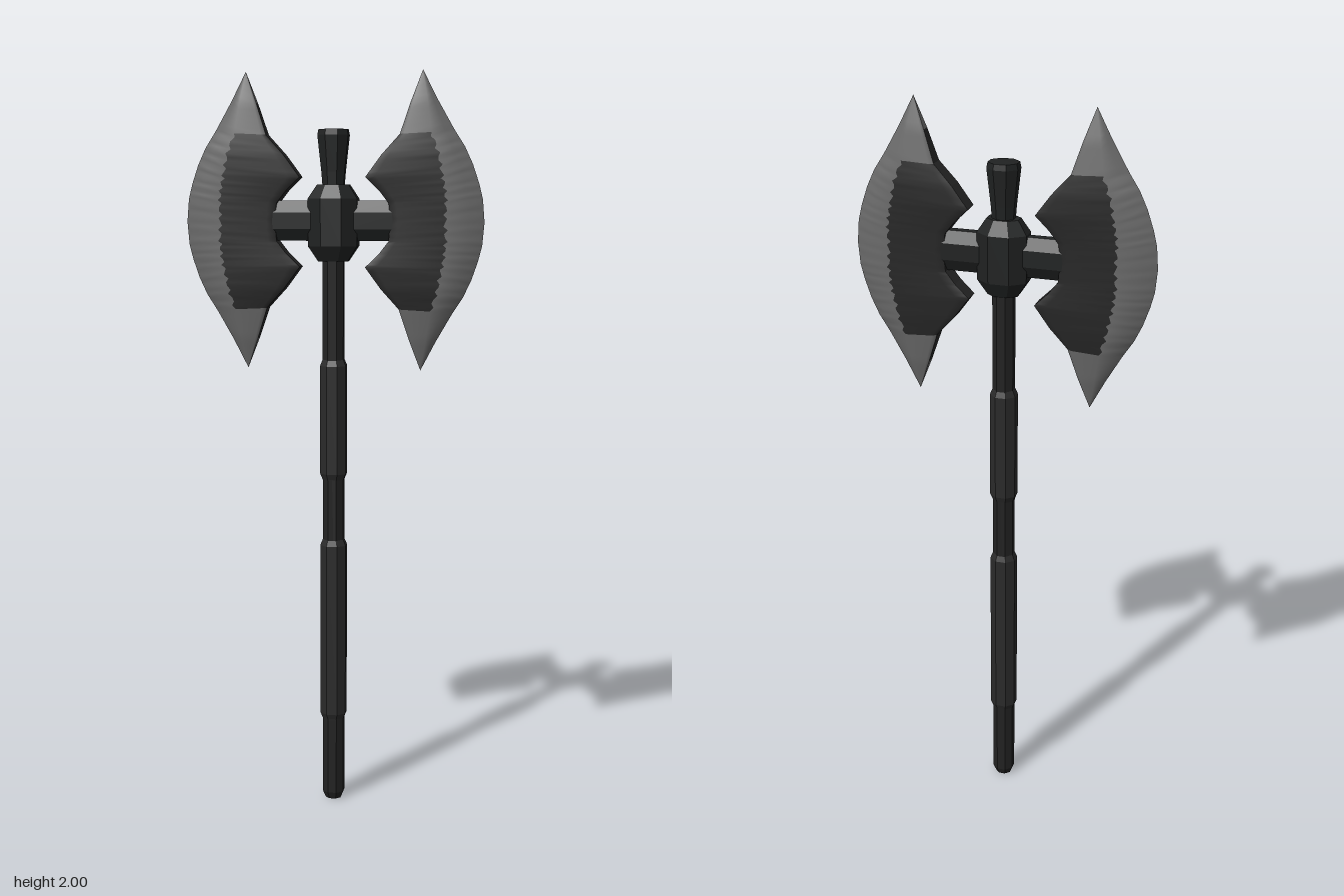
import * as THREE from 'three';

const paint = (name, color) => {
  const m = new THREE.MeshStandardMaterial({ color });
  m.name = name;
  return m;
};

// Faceted octagonal turning with flat sides toward x and z; profile is [radius, y]
function octagon(profile, flip = 1) {
  const k = 1 / Math.cos(Math.PI / 8);
  const pts = profile.map(([r, y]) => new THREE.Vector2(r * k, y));
  const g = new THREE.LatheGeometry(pts, 8, Math.PI / 8).toNonIndexed();
  g.scale(1, 1, flip);
  g.computeVertexNormals();
  return g;
}

// Indexed skin over rows of points, in two material groups: 0 dark, 1 bright
function skin(rows, isDark, reverse = false) {
  const n = rows[0].length, sets = [[], []];
  for (let j = 0; j < rows.length - 1; j++) {
    for (let i = 0; i < n - 1; i++) {
      const a = j * n + i, b = a + 1, c = b + n, d = a + n;
      sets[isDark(j, i) ? 0 : 1].push(...(reverse ? [a, c, b, a, d, c] : [a, b, c, a, c, d]));
    }
  }
  const g = new THREE.BufferGeometry();
  g.setAttribute('position', new THREE.Float32BufferAttribute(rows.flat(2), 3));
  g.setIndex([...sets[0], ...sets[1]]);
  g.addGroup(0, sets[0].length, 0);
  g.addGroup(sets[0].length, sets[1].length, 1);
  g.computeVertexNormals();
  return g;
}

// Half-blade stations from the middle to the tip: inner edge, colour border, cutting edge
const INNER = [[.155, 0, .024], [.15, .05, .024], [.125, .082, .024], [.088, .118, .024],
  [.13, .175, .024], [.178, .228, .021], [.205, .31, .013], [.235, .392, 0]];
const BORDER = [[.3, 0, .035], [.302, .05, .035], [.298, .09, .035], [.29, .13, .035],
  [.28, .18, .034], [.262, .232, .03], [.25, .31, .019], [.235, .392, 0]];
const EDGE = [[.4, 0, 0], [.395, .06, 0], [.385, .1, 0], [.368, .15, 0],
  [.347, .195, 0], [.318, .24, 0], [.275, .315, 0], [.235, .392, 0]];
const STEPS = 5, HALF = STEPS * (INNER.length - 1);

const mix = (a, b, t) => a.map((v, k) => v + (b[k] - v) * t);
function station(table, j) {
  const s = Math.abs(j) / STEPS, i = Math.min(Math.floor(s), table.length - 2);
  const [x, y, z] = mix(table[i], table[i + 1], s - i);
  return [x, j < 0 ? -y : y, z];
}

function makeBlade(materials) {
  const blade = new THREE.Group();
  const front = [], back = [], rim = [];
  for (let j = -HALF; j <= HALF; j++) {
    const a = station(INNER, j), b = station(BORDER, j), c = station(EDGE, j);
    // Slightly ragged border between the dark face and the ground steel
    if (Math.abs(j) < 5 * STEPS) b[0] += .006 * Math.sin(j * 2.3);
    const shoulder = mix(a, b, .14);
    shoulder[2] = b[2] * .95;
    const bevel = mix(b, c, .6);
    bevel[2] = b[2] * .58;
    const row = [a, shoulder, b, bevel, c];
    front.push(row);
    back.push(row.map(([x, y, z]) => [x, y, -z]));
    rim.push([[a[0], a[1], -a[2]], a]);
  }
  const middle = j => Math.abs(j + .5 - HALF);
  const darkFace = (j, i) => i < 2 && middle(j) < 5 * STEPS;
  const darkRim = j => middle(j) < 6 * STEPS;
  const add = (name, g) => {
    const m = new THREE.Mesh(g, materials);
    m.name = name;
    blade.add(m);
  };
  add('bladeFront', skin(front, darkFace));
  add('bladeBack', skin(back, darkFace, true));
  const rimGeometry = skin(rim, darkRim).toNonIndexed();
  rimGeometry.computeVertexNormals();
  add('bladeInnerRim', rimGeometry);
  return blade;
}

export function createModel() {
  const steel = paint('ground steel', 0x6a6a6a);
  const dark = paint('dark iron', 0x262626);
  const shaftColor = paint('blackened shaft', 0x222222);
  const gripColor = paint('grip', 0x2a2a2a);
  const headColor = paint('black socket', 0x202222);

  const model = new THREE.Group();
  model.name = 'doubleAxe';
  const add = (name, geometry, material) => {
    const m = new THREE.Mesh(geometry, material);
    m.name = name;
    model.add(m);
    return m;
  };

  // Shaft with rounded foot
  add('shaft', octagon([[0, 0], [.021, 0], [.029, .02], [.029, .23], [.028, .3],
    [.028, 1.53]], .95), shaftColor);

  // Two thicker grips
  for (const [name, y0, y1] of [['lowerGrip', .23, .75], ['upperGrip', .91, 1.245]]) {
    add(name, octagon([[.027, y0], [.035, y0 + .02], [.035, y1 - .02], [.027, y1]], .92), gripColor);
  }

  // Central socket and flared top cap
  add('socket', octagon([[0, 1.505], [.04, 1.505], [.066, 1.545], [.066, 1.67],
    [.042, 1.707], [0, 1.707]], .76), headColor);
  add('topCap', octagon([[.028, 1.7], [.031, 1.74], [.041, 1.835], [.038, 1.85],
    [0, 1.852]], .9), headColor);

  // Arms and blades on both sides
  for (const side of [1, -1]) {
    const prefix = side > 0 ? 'left' : 'right';
    const arm = add(prefix + 'Arm', octagon([[0, .04], [.053, .04], [.053, .19], [0, .19]], .51), headColor);
    arm.rotation.z = -side * Math.PI / 2;
    arm.position.y = 1.612;

    const blade = makeBlade([dark, steel]);
    blade.name = prefix + 'Blade';
    blade.position.y = 1.608;
    if (side < 0) blade.rotation.y = Math.PI;
    model.add(blade);
  }
  return model;
}
